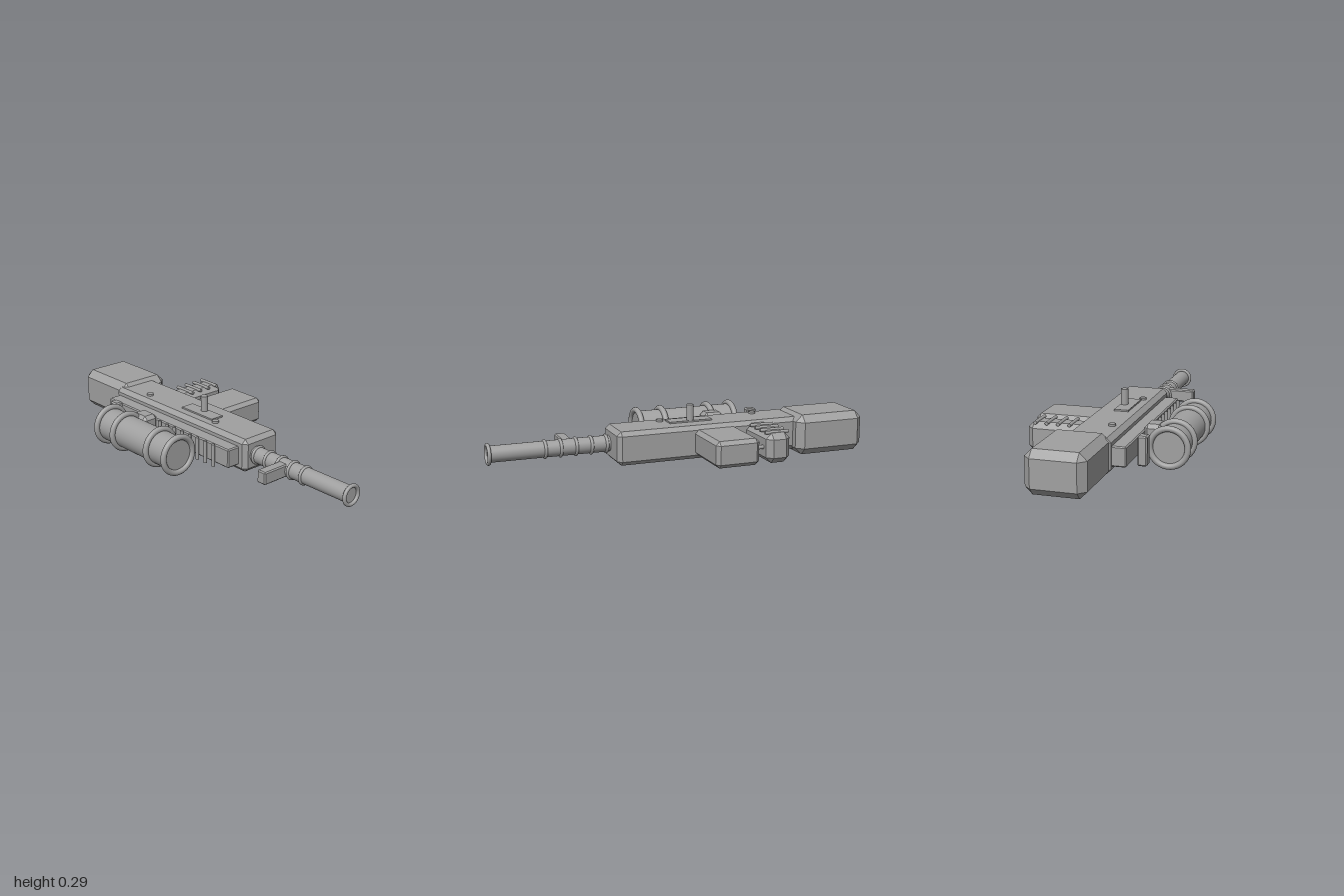
import * as THREE from 'three';
import { ConvexGeometry } from 'three/addons/geometries/ConvexGeometry.js';

export function createModel() {
  const model = new THREE.Group();
  const metal = new THREE.MeshStandardMaterial({ color: 0xa0a0a0 });
  metal.name = 'grey metal';

  function add(name, geometry, x = 0, y = 0, z = 0) {
    const mesh = new THREE.Mesh(geometry, metal);
    mesh.name = name;
    mesh.position.set(x, y, z);
    model.add(mesh);
    return mesh;
  }

  // Box with every edge chamfered by c, given as [min, max] per axis
  function chamferBox(name, xr, yr, zr, c) {
    const h = [xr, yr, zr].map(([a, b]) => (b - a) / 2);
    const m = [xr, yr, zr].map(([a, b]) => (a + b) / 2);
    const points = [];
    for (let axis = 0; axis < 3; axis++)
      for (const sx of [-1, 1]) for (const sy of [-1, 1]) for (const sz of [-1, 1]) {
        const p = [sx, sy, sz].map((s, i) => s * (i === axis ? h[i] : h[i] - c));
        points.push(new THREE.Vector3(...p));
      }
    return add(name, new ConvexGeometry(points), ...m);
  }

  // Round parts lying along x
  function rodX(name, r, x0, x1, y, z, sides = 32) {
    const g = new THREE.CylinderGeometry(r, r, x1 - x0, sides).rotateZ(Math.PI / 2);
    return add(name, g, (x0 + x1) / 2, y, z);
  }
  function ringX(name, R, r, x, y, z) {
    return add(name, new THREE.TorusGeometry(R, r, 12, 40).rotateY(Math.PI / 2), x, y, z);
  }

  const axisY = 0.112;

  // Receiver and stock
  chamferBox('receiver', [-0.68, 0.365], [0.025, 0.2], [-0.14, 0.097], 0.022);
  chamferBox('stock', [-1, -0.61], [0.003, 0.218], [-0.21, 0.087], 0.037);

  // Magazine and grip
  chamferBox('magazine', [-0.285, -0.05], [0.043, 0.18], [-0.425, -0.1], 0.02);
  chamferBox('grip', [-0.47, -0.34], [0.033, 0.188], [-0.4, -0.1], 0.03);
  for (const z of [-0.178, -0.237, -0.296, -0.355])
    rodX('gripRib', 0.009, -0.47, -0.34, 0.188, z, 12);

  // Trigger and guard
  rodX('triggerGuard', 0.011, -0.345, -0.28, axisY, -0.337, 12);
  const triggerPath = new THREE.CatmullRomCurve3([
    new THREE.Vector3(-0.315, axisY, -0.13),
    new THREE.Vector3(-0.298, axisY, -0.175),
    new THREE.Vector3(-0.28, axisY, -0.235),
  ]);
  add('trigger', new THREE.TubeGeometry(triggerPath, 10, 0.01, 10));

  // Sight rail with cross bars
  chamferBox('rail', [-0.65, 0.318], [0.06, 0.16], [0.085, 0.167], 0.006);
  for (let i = 0; i < 8; i++)
    add('railBar', new THREE.CylinderGeometry(0.009, 0.009, 0.12, 12), -0.187 + i * 0.0595, 0.11, 0.187);

  // Rear and front sights
  chamferBox('rearSight', [-0.55, -0.495], [0.04, 0.188], [0.19, 0.238], 0.007);
  chamferBox('frontSight', [0.55, 0.605], [0.078, 0.144], [0.04, 0.195], 0.006);

  // Scope with mount and rings
  const scopeY = 0.11, scopeZ = 0.315;
  chamferBox('scopeMount', [-0.345, -0.23], [0.033, 0.188], [0.16, 0.255], 0.02);
  rodX('scopeTube', 0.087, -0.44, 0.11, scopeY, scopeZ, 48);
  for (const x of [-0.44, -0.305, -0.03, 0.11])
    ringX('scopeRing', 0.094, 0.0155, x, scopeY, scopeZ);

  // Barrel, bands and muzzle
  const barrelZ = 0.02;
  rodX('barrel', 0.042, 0.34, 0.985, axisY, barrelZ, 40);
  for (let i = 0; i < 5; i++)
    ringX('barrelBand', 0.042, 0.008, 0.383 + i * 0.08, axisY, barrelZ);
  ringX('muzzleRing', 0.047, 0.0095, 0.989, axisY, barrelZ);

  // Bolt plate, bolt handle and side screws
  add('boltPlate', new THREE.BoxGeometry(0.235, 0.012, 0.075), -0.067, 0.202, -0.003);
  add('boltHandle', new THREE.CylinderGeometry(0.019, 0.019, 0.1, 24), -0.068, 0.24, -0.02);
  for (const x of [-0.45, 0.08])
    for (const y of [0.203, 0.022])
      add('screw', new THREE.CylinderGeometry(0.018, 0.018, 0.016, 20), x, y, 0.036);

  return model;
}
